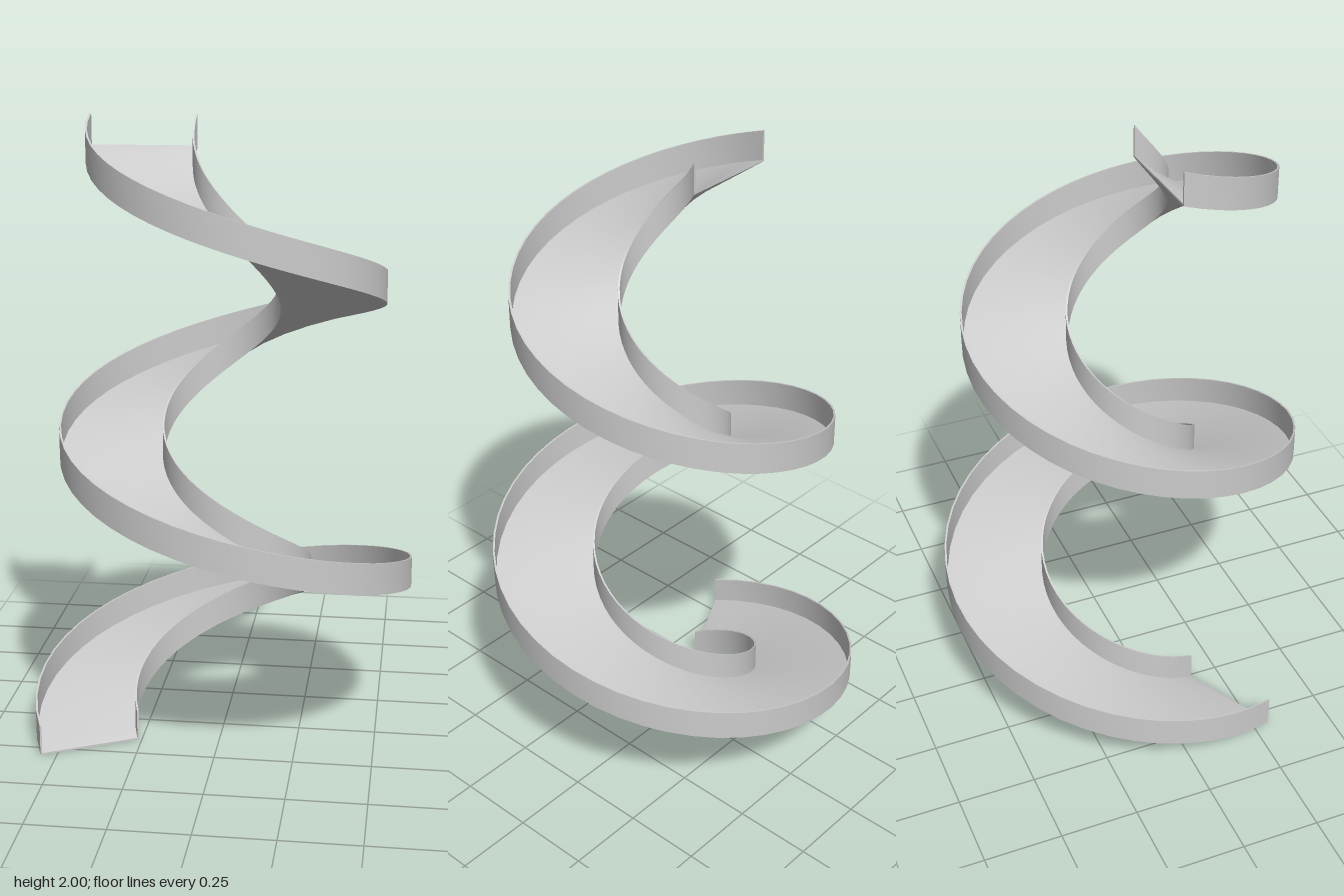
import * as THREE from 'three';

const START = THREE.MathUtils.degToRad(-25.6);
const END = THREE.MathUtils.degToRad(722);
const SEGMENTS = 100;
const RISE = 1.9;                       // climb of the floor from foot to top
const WIDTH = 0.33, WALL_HEIGHT = 0.1, THICK = 0.006;
const CENTRE = 0.0225;                  // spiral axis, shifted so the model is centred
const SHRINK = 0.1 / (2 * Math.PI);     // radius lost per radian

// Point at u (outward) and v (up) from the centre line, at step i of the spiral
function pathPoint(i, u, v) {
  const t = i / SEGMENTS;
  const a = START + (END - START) * t;
  const r = 0.4675 - SHRINK * a;
  const c = Math.cos(a), s = Math.sin(a);
  // Outward is level and square to the path
  const out = new THREE.Vector2(-SHRINK * s - r * c, -SHRINK * c * -1 - r * s).normalize();
  return [CENTRE - r * c + u * out.x, RISE * t + v, CENTRE - r * s + u * out.y];
}

// Sweep a rectangle along the spiral; each side has its own vertices to keep edges sharp
function sweep(name, material, u0, u1, v0, v1) {
  const corners = [[u0, v0], [u1, v0], [u1, v1], [u0, v1]];
  const positions = [], index = [];
  corners.forEach((a, k) => {
    const b = corners[(k + 1) % 4];
    const base = positions.length / 3;
    for (let i = 0; i <= SEGMENTS; i++) {
      positions.push(...pathPoint(i, ...a), ...pathPoint(i, ...b));
      if (i === SEGMENTS) continue;
      const n = base + i * 2;
      index.push(n, n + 1, n + 3, n, n + 3, n + 2);
    }
  });
  // End caps
  for (const i of [0, SEGMENTS]) {
    const n = positions.length / 3;
    corners.forEach((p) => positions.push(...pathPoint(i, ...p)));
    if (i === 0) index.push(n, n + 2, n + 1, n, n + 3, n + 2);
    else index.push(n, n + 1, n + 2, n, n + 2, n + 3);
  }
  const geometry = new THREE.BufferGeometry();
  geometry.setAttribute('position', new THREE.Float32BufferAttribute(positions, 3));
  geometry.setIndex(index);
  geometry.computeVertexNormals();
  const mesh = new THREE.Mesh(geometry, material);
  mesh.name = name;
  return mesh;
}

export function createModel() {
  const group = new THREE.Group();
  group.name = 'spiralSlide';
  const material = new THREE.MeshStandardMaterial({ color: 0xcccccc });
  const h = WIDTH / 2;
  group.add(
    sweep('slideFloor', material, -h + THICK, h - THICK, 0, THICK),
    sweep('outerWall', material, h - THICK, h, 0, WALL_HEIGHT),
    sweep('innerWall', material, -h, -h + THICK, 0, WALL_HEIGHT),
  );
  return group;
}
